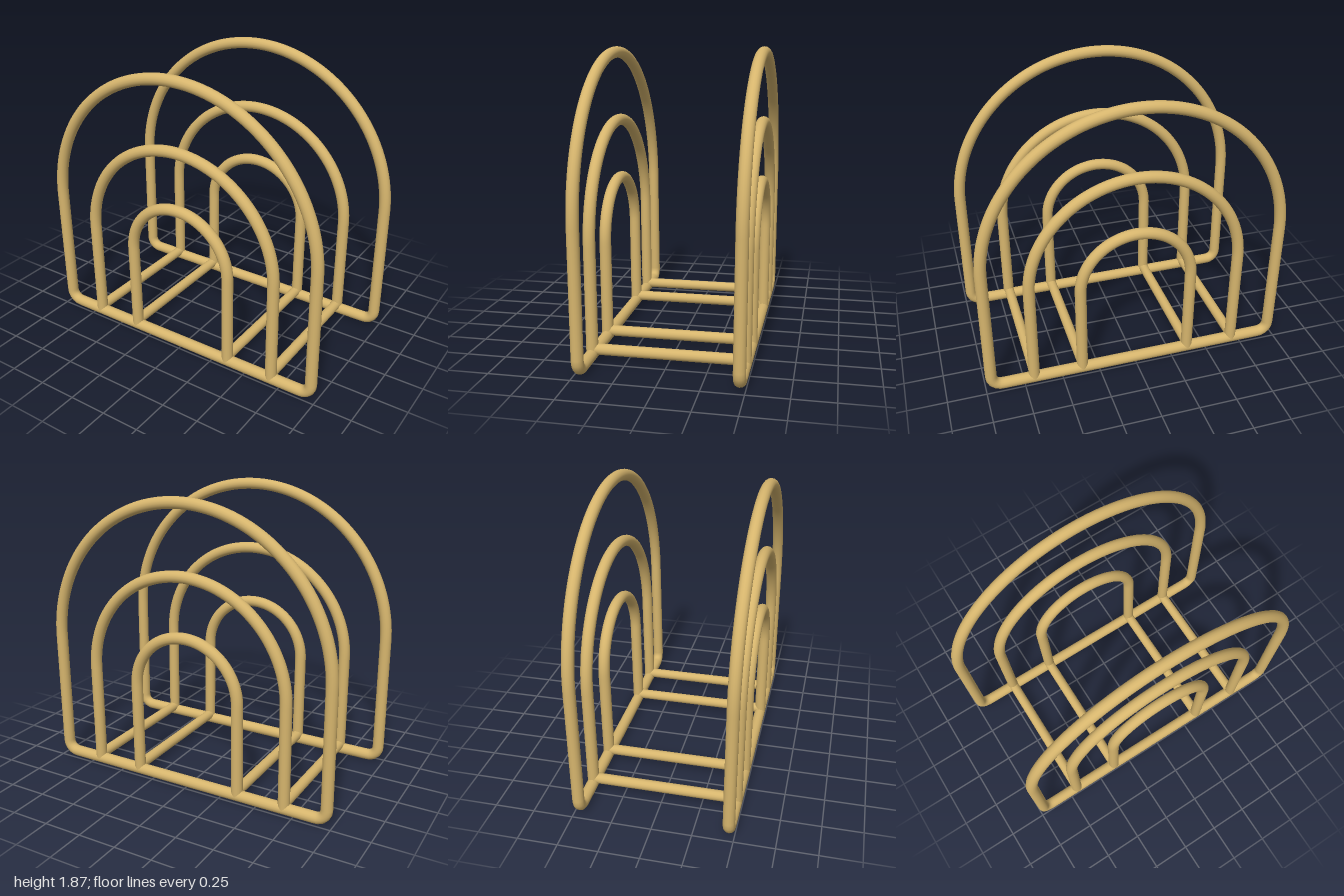
import * as THREE from 'three';

const R = 0.037;      // rod radius
const BASE = 0.046;   // height of the bottom rail axis

// Places a flat path on a frame plane that leans slightly outward with height
class LeaningCurve extends THREE.Curve {
  constructor(path, side) {
    super();
    this.path = path;
    this.side = side;
  }
  getPoint(t, target = new THREE.Vector3()) {
    const p = this.path.getPoint(t);
    return target.set(p.x, p.y, this.side * (0.465 + 0.008 * p.y));
  }
}

// Closed outer hoop: bottom rail, rounded corners, legs and arch
function hoopPath(r, springY, corner) {
  const p = new THREE.Path();
  p.moveTo(0, BASE);
  p.lineTo(r - corner, BASE);
  p.absarc(r - corner, BASE + corner, corner, -Math.PI / 2, 0, false);
  p.lineTo(r, springY);
  p.absarc(0, springY, r, 0, Math.PI, false);
  p.lineTo(-r, BASE + corner);
  p.absarc(-r + corner, BASE + corner, corner, Math.PI, Math.PI * 1.5, false);
  p.lineTo(0, BASE);
  return p;
}

// Open arch standing on the bottom rail
function archPath(r, springY) {
  const p = new THREE.Path();
  p.moveTo(r, BASE);
  p.lineTo(r, springY);
  p.absarc(0, springY, r, 0, Math.PI, false);
  p.lineTo(-r, BASE);
  return p;
}

export function createModel() {
  const model = new THREE.Group();
  const brass = new THREE.MeshStandardMaterial({ color: 0xd6b56d });
  brass.name = 'brass';

  const add = (name, geometry, parent) => {
    const mesh = new THREE.Mesh(geometry, brass);
    mesh.name = name;
    parent.add(mesh);
    return mesh;
  };

  // Front and back wire frames
  for (const [side, label] of [[1, 'front'], [-1, 'back']]) {
    const frame = new THREE.Group();
    frame.name = label + 'Frame';
    const rod = (path, segments, closed) =>
      new THREE.TubeGeometry(new LeaningCurve(path, side), segments, R, 16, closed);
    add('outerHoop', rod(hoopPath(0.962, 0.88, 0.07), 260, true), frame);
    add('middleArch', rod(archPath(0.685, 0.717), 100, false), frame);
    add('innerArch', rod(archPath(0.364, 0.653), 80, false), frame);
    model.add(frame);
  }

  // Cross bars joining the two frames under the arch legs
  for (const x of [-0.685, -0.366, 0.362, 0.682]) {
    const bar = add('crossBar', new THREE.CylinderGeometry(0.034, 0.034, 0.93, 16), model);
    bar.rotation.x = Math.PI / 2;
    bar.position.set(x, 0.077, 0);
  }

  return model;
}
